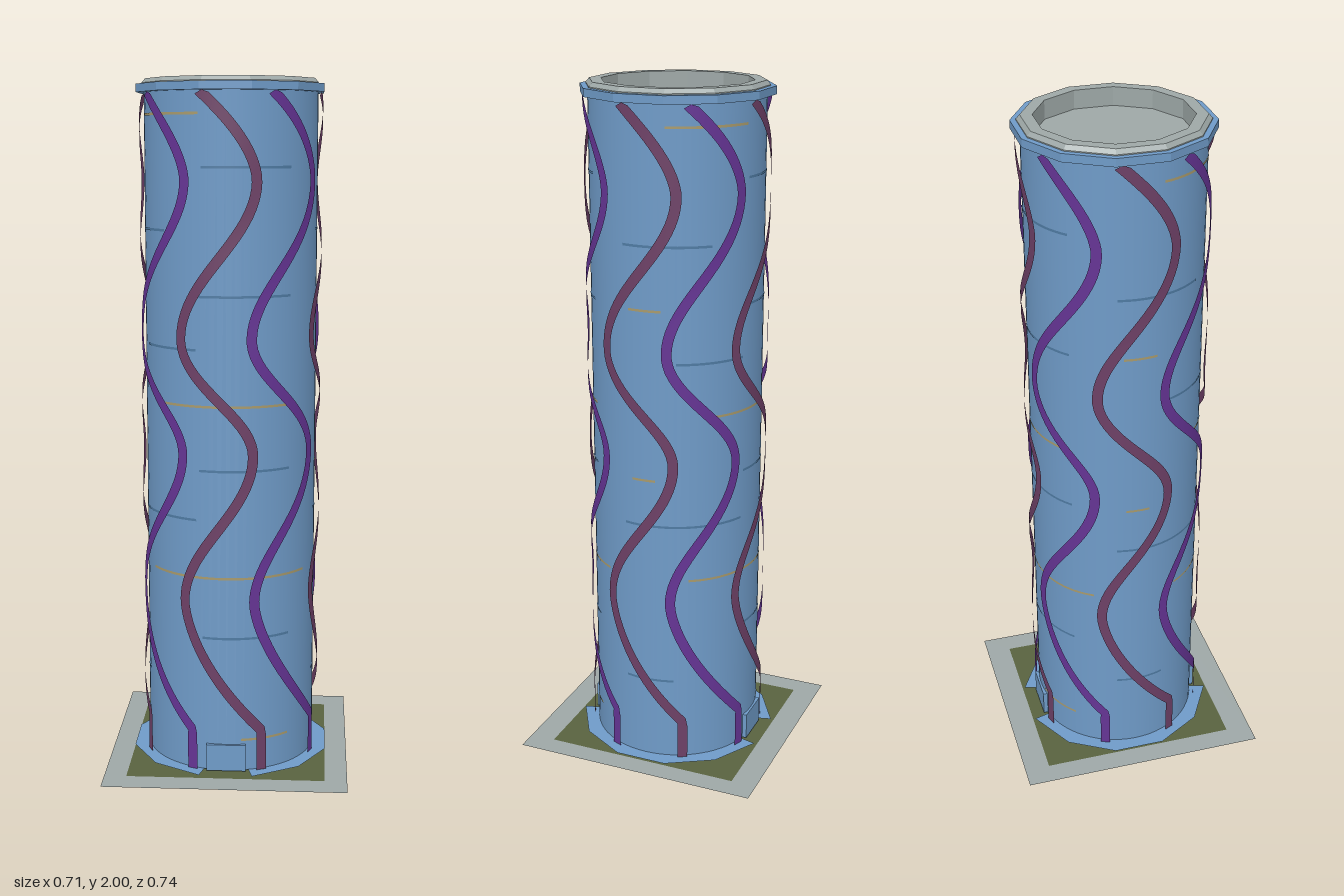
import * as THREE from 'three';

const material = (name, color, side = THREE.FrontSide) => {
  const m = new THREE.MeshStandardMaterial({ color, side });
  m.name = name;
  return m;
};
const rad = THREE.MathUtils.degToRad;

// Sideways swing of a ribbon, in degrees, at height y
function swing(y) {
  const turns = [[1.72, 24], [1.28, -24], [0.95, 22], [0.52, -22]];
  if (y > 1.72) return 24 - 35 * Math.pow((y - 1.72) / 0.24, 1.7);
  if (y < 0.13) return 28;
  if (y < 0.52) return -22 + 50 * Math.pow((0.52 - y) / 0.39, 1.6);
  for (let i = 0; i < 3; i++) {
    const [y0, a0] = turns[i], [y1, a1] = turns[i + 1];
    if (y >= y1) return a0 + (a1 - a0) * (1 - Math.cos(Math.PI * (y0 - y) / (y0 - y1))) / 2;
  }
  return 0;
}

// Wavy strip wrapped round the tower, just off its wall
function ribbonGeometry(centre, radius = 0.264, width = 0.03) {
  const positions = [], indices = [], steps = 110, top = 1.962;
  const across = (y) => radius * rad(centre + swing(y));
  for (let i = 0; i <= steps; i++) {
    const y = 0.008 + (top - 0.008) * i / steps;
    const slope = (across(y + 0.004) - across(y - 0.004)) / 0.008;
    const len = Math.hypot(slope, 1);
    for (const side of [-1, 1]) {
      const s = across(y) + side * width / 2 / len;
      const h = THREE.MathUtils.clamp(y - side * width / 2 * slope / len, 0.008, top);
      positions.push(radius * Math.sin(s / radius), h, radius * Math.cos(s / radius));
    }
    if (i < steps) {
      const a = 2 * i;
      indices.push(a, a + 1, a + 3, a, a + 3, a + 2);
    }
  }
  const g = new THREE.BufferGeometry();
  g.setAttribute('position', new THREE.Float32BufferAttribute(positions, 3));
  g.setIndex(indices);
  g.computeVertexNormals();
  return g;
}

// Twelve-sided ring with flat faces; radii are measured to the flats
function facetedRing(profile) {
  const points = profile.map(([r, y]) => new THREE.Vector2(r / Math.cos(Math.PI / 12), y));
  const g = new THREE.LatheGeometry(points, 12, Math.PI / 12).toNonIndexed();
  g.computeVertexNormals();
  return g;
}

export function createModel() {
  const model = new THREE.Group();
  model.name = 'tower';
  const blue = material('blue wall', 0x6f9bc8, THREE.DoubleSide);
  const grey = material('grey concrete', 0x9ea8a7, THREE.DoubleSide);
  const olive = material('olive grass', 0x59623f, THREE.DoubleSide);
  const purple = material('purple ribbon', 0x653494, THREE.DoubleSide);
  const plum = material('plum ribbon', 0x6d4066, THREE.DoubleSide);
  const tan = material('tan line', 0xa89a6c);
  const slate = material('slate line', 0x4f7ba3);

  const add = (name, geometry, mat, parent = model) => {
    const mesh = new THREE.Mesh(geometry, mat);
    mesh.name = name;
    parent.add(mesh);
    return mesh;
  };

  // Ground: paved border round a square of grass
  const rect = (path, x, z) => {
    path.moveTo(-x, -z); path.lineTo(x, -z); path.lineTo(x, z); path.lineTo(-x, z); path.closePath();
    return path;
  };
  const border = rect(new THREE.Shape(), 0.355, 0.372);
  border.holes.push(rect(new THREE.Path(), 0.29, 0.296));
  add('pavement', new THREE.ShapeGeometry(border).rotateX(-Math.PI / 2), grey);
  add('grass', new THREE.PlaneGeometry(0.58, 0.592).rotateX(-Math.PI / 2), olive);

  // Plinth, open at the front and back doors
  for (const start of [-75, 105]) {
    const g = new THREE.RingGeometry(0.245, 0.3, 5, 1, rad(start), rad(150));
    g.dispose();
    const ring = new THREE.RingGeometry(0.245, 0.3, 5, 1, rad(start), rad(150)).rotateX(-Math.PI / 2);
    add('plinth', ring.translate(0, 0.006, 0), blue);
  }

  // Wall
  add('wall', new THREE.CylinderGeometry(0.25, 0.25, 1.965, 64, 1, true).translate(0, 0.9875, 0), blue);

  // Rim, parapet and sunken roof
  add('rim', facetedRing([[0.245, 1.962], [0.266, 1.962], [0.266, 1.985], [0.245, 1.985]]), blue);
  add('parapet', facetedRing([[0.25, 1.98], [0.25, 1.988], [0.24, 2], [0.208, 2], [0.208, 1.945]]), grey);
  const roof = new THREE.CircleGeometry(0.217, 12, Math.PI / 12).rotateX(-Math.PI / 2);
  add('roof', roof.translate(0, 1.947, 0), grey);

  // Doors at front and back
  for (const side of [-1, 1]) {
    add('door', new THREE.BoxGeometry(0.115, 0.08, 0.02).translate(0, 0.046, side * 0.246), blue);
  }

  // Alternating ribbons, the same on opposite sides
  const ribbons = new THREE.Group();
  ribbons.name = 'ribbons';
  model.add(ribbons);
  for (const half of [0, 180]) {
    for (const centre of [-5, 88]) add('plumRibbon', ribbonGeometry(centre + half), plum, ribbons);
    for (const centre of [40, 130]) add('purpleRibbon', ribbonGeometry(centre + half), purple, ribbons);
  }

  // Fine floor lines: height, start angle, end angle
  const lines = [
    [tan, 1.9, -60, -18], [tan, 1.9, 105, 135], [tan, 1.4, 80, 102], [tan, 1.09, -45, 45],
    [tan, 0.59, -60, 60], [tan, 0.9, 82, 98], [tan, 0.1, 10, 45],
    [slate, 1.755, -16, 45], [slate, 1.4, -18, 45], [slate, 0.905, -18, 45], [slate, 0.41, -16, 45],
    [slate, 1.58, 76, 135], [slate, 1.25, 112, 160], [slate, 0.76, 76, 160], [slate, 0.26, 76, 110],
  ];
  for (const half of [0, 180]) {
    for (const [mat, y, from, to] of lines) {
      const g = new THREE.CylinderGeometry(0.2512, 0.2512, 0.007, 16, 1, true, rad(from + half), rad(to - from));
      add('floorLine', g.translate(0, y, 0), mat);
    }
  }
  return model;
}
